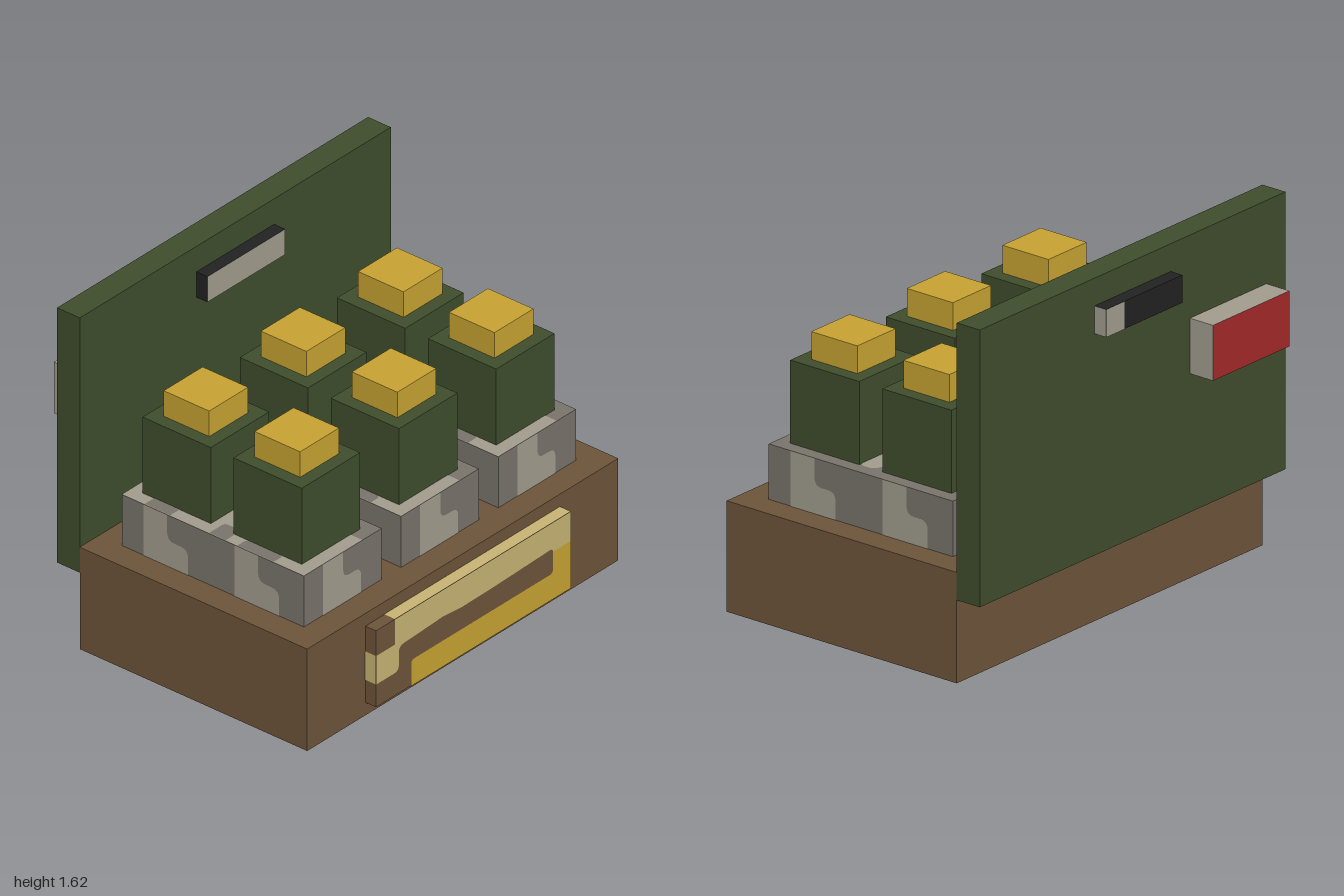
import * as THREE from 'three';

const mat = (name, color) => {
  const m = new THREE.MeshStandardMaterial({ color });
  m.name = name;
  return m;
};

export function createModel() {
  const root = new THREE.Group();
  root.name = 'crateDisplay';

  const green = mat('olive green', 0x404e2d);
  const brown = mat('wood brown', 0x6e553b);
  const gold = mat('gold', 0xc9a433);
  const tan = mat('pale tan', 0xc9b575);
  const light = mat('light grey', 0xa39e8f);
  const dark = mat('dark grey', 0x7a756c);
  const black = mat('black', 0x222222);
  const red = mat('red', 0xa52a2a);

  // Box given by its limits; material may be an array in +x -x +y -y +z -z order
  const box = (parent, name, [x0, x1], [y0, y1], [z0, z1], material) => {
    const mesh = new THREE.Mesh(new THREE.BoxGeometry(x1 - x0, y1 - y0, z1 - z0), material);
    mesh.position.set((x0 + x1) / 2, (y0 + y1) / 2, (z0 + z1) / 2);
    mesh.name = name;
    parent.add(mesh);
    return mesh;
  };

  // Flat painted patch; a point's third value rounds that corner
  const patch = (parent, name, material, points, position, rx = 0, ry = 0) => {
    const s = new THREE.Shape();
    const n = points.length;
    const toward = (p, q, r) => {
      const d = Math.hypot(q[0] - p[0], q[1] - p[1]);
      return [p[0] + ((q[0] - p[0]) * r) / d, p[1] + ((q[1] - p[1]) * r) / d];
    };
    points.forEach((p, i) => {
      const r = p[2] || 0;
      const a = toward(p, points[(i + n - 1) % n], r);
      const b = toward(p, points[(i + 1) % n], r);
      if (i === 0) s.moveTo(...a);
      else s.lineTo(...a);
      if (r) s.quadraticCurveTo(p[0], p[1], ...b);
    });
    const mesh = new THREE.Mesh(new THREE.ShapeGeometry(s, 4), material);
    mesh.position.set(...position);
    mesh.rotation.set(rx, ry, 0);
    mesh.name = name;
    parent.add(mesh);
  };
  const rect = (u0, u1, v0, v1) => [[u0, v0], [u1, v0], [u1, v1], [u0, v1]];
  const E = 0.002;

  // Wooden base and upright back board
  box(root, 'base', [-1, 1], [0, 0.5], [-0.53, 0.72], brown);
  box(root, 'backBoard', [-1, 1], [0.375, 1.625], [-0.655, -0.53], green);

  // Three stone plinths, each with two capped blocks
  const stepPatch = [[0.12, 0], [0.365, 0], [0.365, 0.125, 0.04], [0.25, 0.125, 0.04], [0.25, 0.25], [0.12, 0.25]];
  const topPatch = [
    [-0.25, -0.5], [0.125, -0.5], [0.125, -0.06, 0.03], [0.19, -0.06, 0.03], [0.19, 0.02, 0.03],
    [0.12, 0.04, 0.03], [0.12, 0.1, 0.03], [0.02, 0.1], [0.02, 0.5], [-0.25, 0.5],
  ];
  for (const x of [-0.625, 0, 0.625]) {
    const unit = new THREE.Group();
    unit.name = 'plinthUnit';
    unit.position.x = x;
    root.add(unit);
    box(unit, 'plinth', [-0.25, 0.25], [0.5, 0.75], [-0.405, 0.595], dark);
    patch(unit, 'plinthFrontPatch', light, stepPatch, [-0.25, 0.5, 0.595 + E]);
    patch(unit, 'plinthBackPatch', light, stepPatch, [0.25, 0.5, -0.405 - E], 0, Math.PI);
    for (const k of [0, 0.5]) {
      patch(unit, 'plinthLeftPatch', light, stepPatch, [0.25 + E, 0.5, 0.595 - k], 0, Math.PI / 2);
      patch(unit, 'plinthRightPatch', light, stepPatch, [-0.25 - E, 0.5, -0.405 + k], 0, -Math.PI / 2);
    }
    patch(unit, 'plinthTopPatch', light, topPatch, [0, 0.75 + E, 0.095], -Math.PI / 2);
    // Dark spots along the edge of the plinth top
    for (const [z, h, w] of [[-0.21, 0.07, 0.075], [0.12, 0.045, 0.1], [0.33, 0.1, 0.06]]) {
      patch(unit, 'plinthTopSpot', dark,
        [[0, -h], [w, -h, 0.02], [w, h, 0.02], [0, h]], [-0.25, 0.75 + 2 * E, z], -Math.PI / 2);
    }
    for (const z of [0.3425, -0.1575]) {
      box(unit, 'block', [-0.1875, 0.1875], [0.75, 1.125], [z - 0.1875, z + 0.1875], green);
      box(unit, 'blockCap', [-0.125, 0.125], [1.125, 1.25], [z - 0.125, z + 0.125], gold);
    }
  }

  // Front plaque with its painted bands
  const plaque = new THREE.Group();
  plaque.name = 'frontPlaque';
  root.add(plaque);
  box(plaque, 'plaqueBody', [-0.625, 0.625], [0.0625, 0.4375], [0.718, 0.778], brown);
  patch(plaque, 'plaqueTanBand', tan, [
    [-0.625, 0.175], [-0.48, 0.175, 0.03], [-0.48, 0.295, 0.03], [-0.36, 0.3], [-0.2, 0.308], [-0.08, 0.298],
    [0.1, 0.3], [0.25, 0.304], [0.51, 0.312, 0.02], [0.51, 0.295], [0.625, 0.295],
    [0.625, 0.4375], [-0.505, 0.4375], [-0.505, 0.315], [-0.625, 0.315],
  ], [0, 0, 0.778 + E]);
  patch(plaque, 'plaqueGoldBand', gold, [
    [-0.4, 0.0625], [0.625, 0.0625], [0.625, 0.295], [0.51, 0.295], [0.51, 0.19, 0.02], [-0.4, 0.19, 0.02],
  ], [0, 0, 0.778 + E]);
  patch(plaque, 'plaqueTopBand', tan, rect(-0.505, 0.625, -0.778, -0.718), [0, 0.4375 + E, 0], -Math.PI / 2);
  patch(plaque, 'plaqueLeftBand', tan, rect(-0.778, -0.718, 0.315, 0.4375), [0.625 + E, 0, 0], 0, Math.PI / 2);
  patch(plaque, 'plaqueRightBand', tan, rect(0.718, 0.778, 0.175, 0.315), [-0.625 - E, 0, 0], 0, -Math.PI / 2);
  patch(plaque, 'plaqueBottomBand', gold, rect(-0.4, 0.625, 0.718, 0.778), [0, 0.0625 - E, 0], Math.PI / 2);

  // Latch passing through the back board
  box(root, 'latchFront', [-0.25, 0.25], [1.375, 1.5], [-0.53, -0.47], [dark, black, black, black, light, black]);
  box(root, 'latchBack', [-0.25, 0.25], [1.375, 1.5], [-0.718, -0.655], [light, black, black, black, black, black]);
  patch(root, 'latchBackPatch', light, rect(-0.25, -0.13, 1.375, 1.5), [0, 0, -0.718 - E], 0, Math.PI);

  // Red-faced box on the back
  box(root, 'backBox', [-0.875, -0.375], [1, 1.25], [-0.78, -0.655], [light, light, light, dark, light, red]);
  patch(root, 'backBoxBottomPatch', light,
    [[-0.5, 0.655], [-0.375, 0.655], [-0.375, 0.78], [-0.46, 0.78], [-0.5, 0.72, 0.02]],
    [0, 1 - E, 0], Math.PI / 2);
  patch(root, 'backBoxBottomPatch', light, rect(-0.75, -0.63, 0.655, 0.72), [0, 1 - E, 0], Math.PI / 2);

  return root;
}
